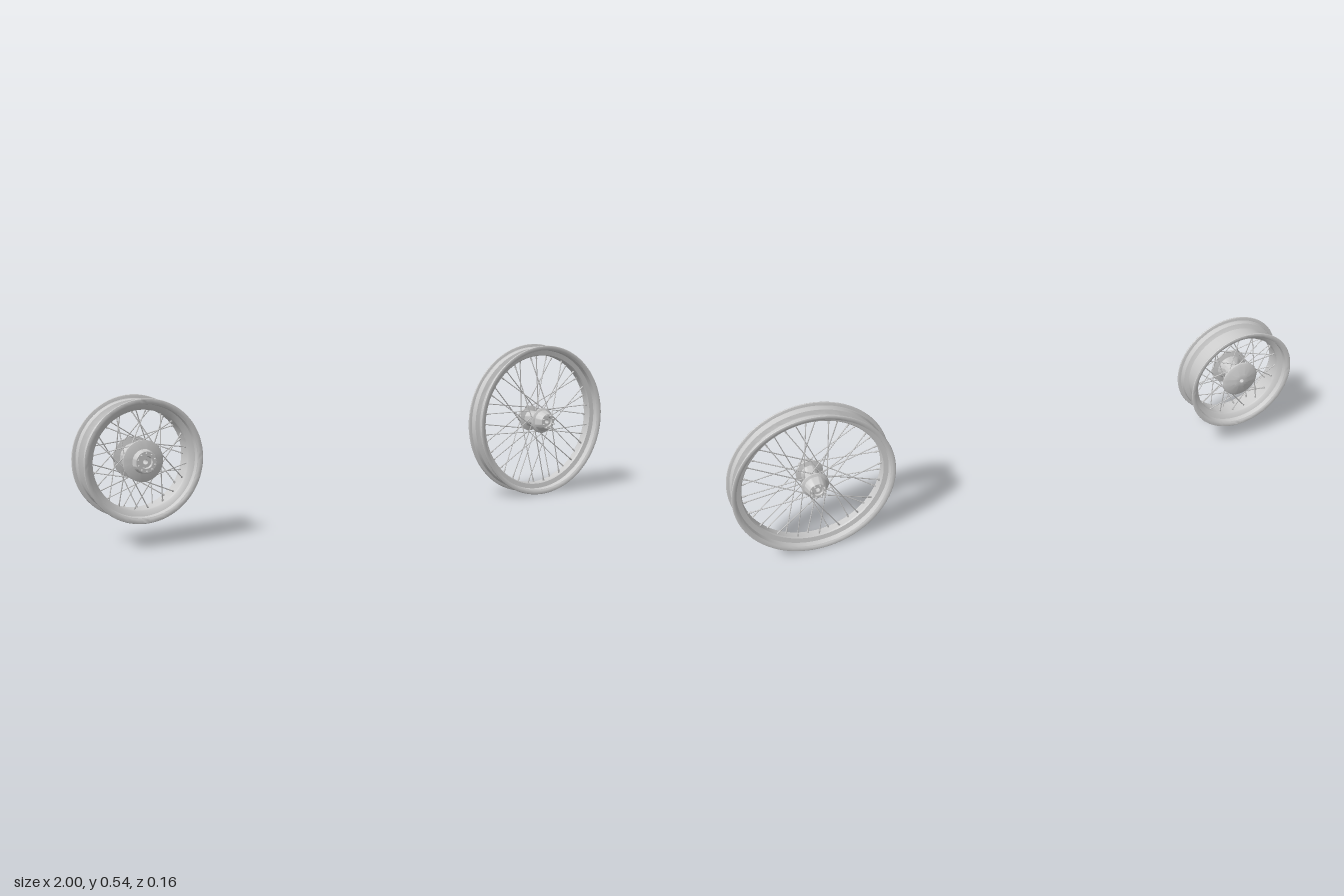
import * as THREE from 'three';
import { toCreasedNormals } from 'three/addons/utils/BufferGeometryUtils.js';

const steel = new THREE.MeshStandardMaterial({ color: 0xcccccc });
steel.name = 'light grey steel';

function add(parent, name, geometry) {
  const mesh = new THREE.Mesh(geometry, steel);
  mesh.name = name;
  parent.add(mesh);
  return mesh;
}

// Revolves [radius, z] points around the z axis
function turned(points, segments) {
  const geo = new THREE.LatheGeometry(points.map(p => new THREE.Vector2(p[0], p[1])), segments);
  geo.rotateX(Math.PI / 2);
  return toCreasedNormals(geo, 0.6);
}

// Straight rod between two points
function rod(parent, name, a, b, radius, sides = 6) {
  const mesh = add(parent, name, new THREE.CylinderGeometry(radius, radius, a.distanceTo(b), sides));
  mesh.position.copy(a).add(b).multiplyScalar(0.5);
  mesh.quaternion.setFromUnitVectors(new THREE.Vector3(0, 1, 0), b.clone().sub(a).normalize());
}

const polar = (r, angle, z) => new THREE.Vector3(r * Math.cos(angle), r * Math.sin(angle), z);

// Drop-centre rim: rolled lips, bead seats and a deep well
function rimProfile({ R, half: h, seat, seatIn, well, wellHalf: w, inner }) {
  const t = 0.005;
  const outer = [
    [R - 0.004, h], [R - 0.001, h - 0.001], [R, h - 0.003], [R - 0.001, h - 0.006],
    [R - 0.004, h - 0.007], [seat + 0.002, h - 0.008], [seat, h - 0.01],
    [seat - 0.001, seatIn + 0.001], [seat - 0.003, seatIn], [well + 0.003, w + 0.001], [well, w - 0.001],
  ];
  const inside = [
    [inner, w], [inner + 0.003, w + 0.004], [seat - t - 0.002, seatIn + 0.006],
    [seat - t, h - 0.005], [seat - t + 0.004, h - 0.002],
  ];
  const flip = list => list.map(([r, z]) => [r, -z]);
  return [
    ...flip(outer), ...outer.slice().reverse(),
    ...inside.slice().reverse(), ...flip(inside), [R - 0.004, -h],
  ];
}

function makeWheel(name, o) {
  const wheel = new THREE.Group();
  wheel.name = name;
  add(wheel, 'rim', turned(rimProfile(o), 96));
  add(wheel, 'hub', turned(o.hub, 48));

  // Crossed spokes laced from both hub flanges
  const spokes = new THREE.Group();
  spokes.name = 'spokes';
  wheel.add(spokes);
  for (let i = 0; i < 40; i++) {
    const side = i % 2 ? 1 : -1;
    const lean = i % 4 < 2 ? 1 : -1;
    const end = (i / 40) * Math.PI * 2;
    const a = polar(o.flange, end + lean * o.sweep, side * o.flangeZ);
    const b = polar(o.inner + 0.003, end, side * o.wellHalf * 0.5);
    rod(spokes, 'spoke', a, b, 0.0018);
    // Nipple at the rim
    rod(spokes, 'nipple', b.clone().lerp(a, 0.08), b, 0.003);
  }

  // Ring of bolts on each exposed hub face
  for (const [z0, z1, r, count] of o.bolts) {
    for (let i = 0; i < count; i++) {
      const angle = ((i + 0.5) / count) * Math.PI * 2;
      rod(wheel, 'hubBolt', polar(r, angle, z0), polar(r, angle, z1), 0.0028, 8);
    }
  }
  return wheel;
}

export function createModel() {
  const model = new THREE.Group();
  model.name = 'wheelPair';

  // Tall narrow wheel
  const large = makeWheel('largeWheel', {
    R: 0.27, half: 0.041, seat: 0.258, seatIn: 0.013, well: 0.24, wellHalf: 0.012, inner: 0.232,
    flange: 0.04, flangeZ: 0.035, sweep: 1.15,
    hub: [
      [0.008, -0.064], [0.016, -0.064], [0.018, -0.07], [0.027, -0.07], [0.029, -0.068],
      [0.037, -0.042], [0.045, -0.038], [0.045, -0.032], [0.03, -0.028], [0.024, -0.015],
      [0.024, 0.015], [0.03, 0.028], [0.045, 0.032], [0.045, 0.038], [0.037, 0.042],
      [0.029, 0.068], [0.027, 0.07], [0.018, 0.07], [0.016, 0.064], [0.008, 0.064],
      [0.008, -0.064],
    ],
    bolts: [[0.068, 0.079, 0.023, 8], [-0.068, -0.079, 0.023, 8]],
  });
  large.position.set(0.73, 0.27, -0.002);
  model.add(large);

  // Small wide wheel with a broad drum hub
  const small = makeWheel('smallWheel', {
    R: 0.194, half: 0.058, seat: 0.181, seatIn: 0.032, well: 0.165, wellHalf: 0.027, inner: 0.156,
    flange: 0.058, flangeZ: 0.041, sweep: 0.95,
    hub: [
      [0.008, -0.056], [0.026, -0.056], [0.03, -0.054], [0.056, -0.049], [0.065, -0.044],
      [0.065, -0.038], [0.045, -0.034], [0.03, -0.018], [0.03, 0.018], [0.045, 0.034],
      [0.065, 0.038], [0.065, 0.044], [0.056, 0.047], [0.038, 0.05], [0.035, 0.068],
      [0.033, 0.07], [0.02, 0.07], [0.018, 0.062], [0.008, 0.062], [0.008, -0.056],
    ],
    bolts: [[0.068, 0.079, 0.028, 10]],
  });
  small.position.set(-0.806, 0.27, -0.002);
  model.add(small);

  return model;
}
